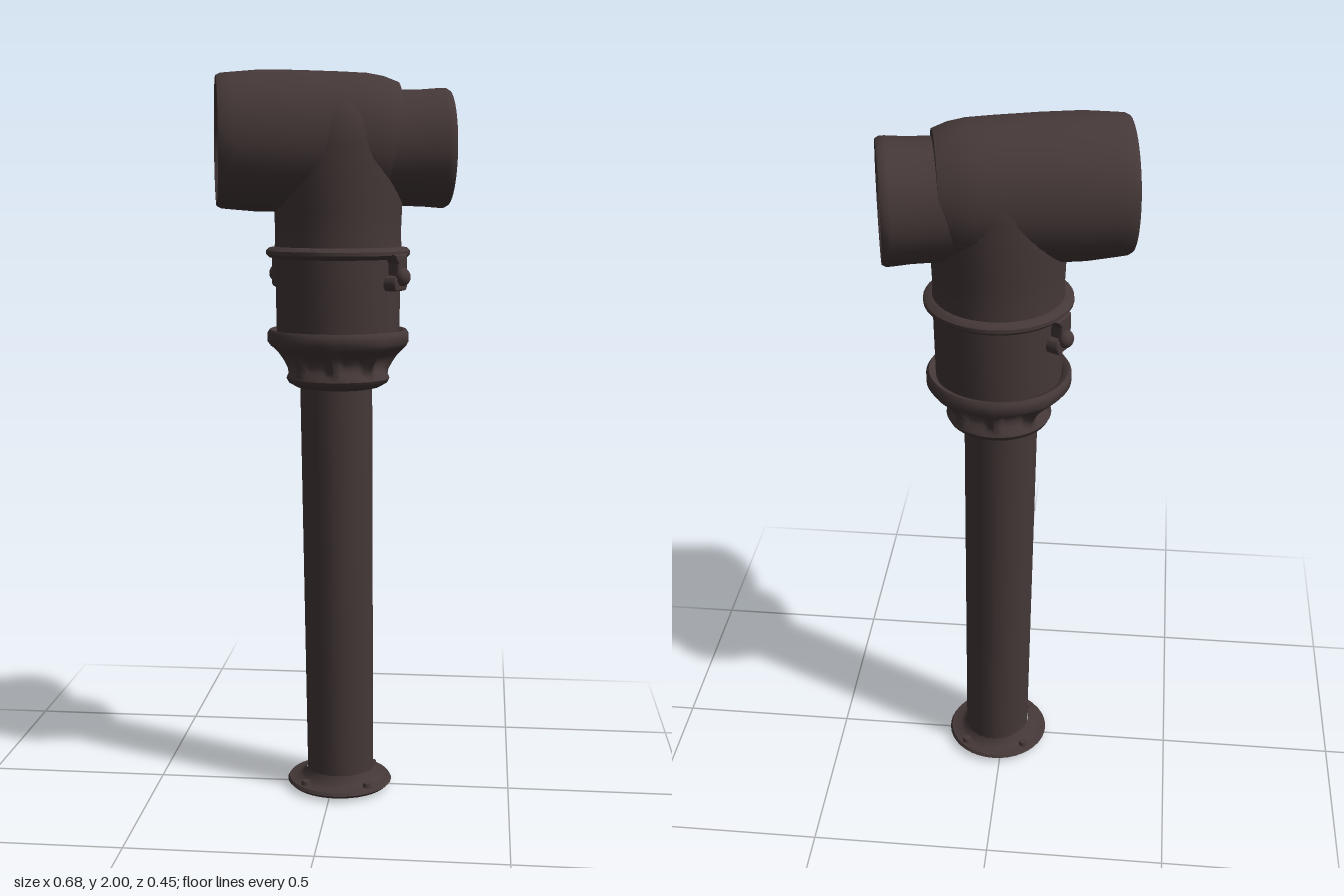
import * as THREE from 'three';
import { toCreasedNormals } from 'three/addons/utils/BufferGeometryUtils.js';

export function createModel() {
  const model = new THREE.Group();
  model.name = 'viewingScope';
  const iron = new THREE.MeshStandardMaterial({ color: 0x453838 });
  iron.name = 'dark iron';

  const add = (name, geometry, parent = model) => {
    const mesh = new THREE.Mesh(geometry, iron);
    mesh.name = name;
    parent.add(mesh);
    return mesh;
  };
  // Turned part from [radius, height] pairs, listed bottom to top
  const turned = (pairs, sides = 40, shape = null) => {
    const g = new THREE.LatheGeometry(pairs.map(([r, y]) => new THREE.Vector2(r, y)), sides);
    if (shape) {
      const p = g.attributes.position;
      for (let i = 0; i < p.count; i++) {
        const k = shape(p.getY(i), Math.atan2(p.getZ(i), p.getX(i)));
        p.setXYZ(i, p.getX(i) * k, p.getY(i), p.getZ(i) * k);
      }
    }
    return toCreasedNormals(g, 0.7);
  };

  // Foot: flange with a slightly domed underside and low bolts
  const foot = new THREE.Group();
  foot.name = 'foot';
  foot.position.set(0.018, 0, 0.003);
  model.add(foot);
  add('footFlange', turned([[0, 0], [0.08, 0.002], [0.14, 0.008], [0.148, 0.016],
    [0.143, 0.024], [0.115, 0.026], [0.1, 0.04], [0.094, 0.055]]), foot);
  for (let i = 0; i < 4; i++) {
    const a = Math.PI / 4 + i * Math.PI / 2;
    add('footBolt', new THREE.CylinderGeometry(0.011, 0.014, 0.012, 8), foot)
      .position.set(0.123 * Math.cos(a), 0.03, 0.123 * Math.sin(a));
  }

  // Pole leaning very slightly from foot to collar
  const pole = new THREE.CylinderGeometry(0.1, 0.094, 1.15, 24, 1, true);
  pole.translate(0, 0.605, 0);
  const pp = pole.attributes.position;
  for (let i = 0; i < pp.count; i++) pp.setX(i, pp.getX(i) + 0.021 - 0.012 * pp.getY(i));
  add('pole', pole);

  const upper = new THREE.Group();
  upper.name = 'upperAssembly';
  upper.position.set(0.012, 0, -0.003);
  model.add(upper);

  // Collar with arched recesses between eight ribs
  const arches = (y, a) => {
    const t = (y - 1.185) / 0.08;
    if (t <= 0 || t >= 1) return 1;
    const hollow = Math.min(1, 1.6 * Math.pow(Math.abs(Math.sin(4 * a)), 1.3));
    return 1 - 0.17 * Math.sin(Math.PI * t) * hollow;
  };
  add('collar', turned([[0.09, 1.145], [0.115, 1.15], [0.136, 1.162], [0.142, 1.174],
    [0.137, 1.185], [0.139, 1.198], [0.145, 1.21], [0.153, 1.224], [0.163, 1.238],
    [0.174, 1.25], [0.187, 1.262], [0.194, 1.275], [0.194, 1.298], [0.187, 1.308],
    [0.174, 1.304], [0.168, 1.296]], 96, arches), upper);

  // Housing drum and the rim it carries
  add('housing', turned([[0.168, 1.29], [0.17, 1.4], [0.172, 1.515]]), upper);
  add('housingRim', turned([[0.17, 1.5], [0.188, 1.504], [0.196, 1.512],
    [0.196, 1.522], [0.188, 1.53], [0.17, 1.533]]), upper);

  // Latches hanging from the rim on opposite sides
  const hook = new THREE.Shape();
  hook.moveTo(-0.03, 0.09);
  hook.lineTo(0.028, 0.09);
  hook.lineTo(0.028, 0.012);
  hook.quadraticCurveTo(0.028, 0, 0.016, 0);
  hook.lineTo(-0.024, 0);
  hook.quadraticCurveTo(-0.034, 0.012, -0.024, 0.028);
  hook.lineTo(-0.01, 0.034);
  hook.lineTo(-0.01, 0.07);
  const hookGeometry = new THREE.ExtrudeGeometry(hook, {
    depth: 0.034, bevelEnabled: true, bevelSize: 0.004, bevelThickness: 0.006, bevelSegments: 2,
  });
  for (const angle of [1.08, 1.08 + Math.PI]) {
    const latch = new THREE.Group();
    latch.name = 'latch';
    latch.rotation.y = angle;
    upper.add(latch);
    add('latchHook', hookGeometry, latch).position.set(0, 1.422, 0.163);
    const pin = add('latchPin', new THREE.SphereGeometry(0.024, 14, 10), latch);
    pin.position.set(0, 1.455, 0.207);
    pin.scale.z = 0.8;
  }

  // Neck rising into a rounded crown inside the head
  const neck = [[0.173, 1.525], [0.171, 1.57], [0.173, 1.62], [0.176, 1.68], [0.178, 1.8]];
  for (let i = 1; i <= 10; i++) {
    const a = i * Math.PI / 20;
    neck.push([0.178 * Math.cos(a), 1.8 + 0.19 * Math.sin(a)]);
  }
  add('neck', turned(neck), upper);

  // Head: wide objective barrel and narrow eyepiece barrel on one turned axis
  const head = new THREE.Group();
  head.name = 'head';
  head.position.set(-0.003, 1.81, -0.003);
  head.rotation.y = 0.21;
  model.add(head);
  const barrel = (name, pairs) => {
    const mesh = add(name, turned(pairs, 48).rotateZ(-Math.PI / 2), head);
    return mesh;
  };
  const wide = barrel('objectiveBarrel', [[0, -0.255], [0.145, -0.255], [0.155, -0.3],
    [0.162, -0.314], [0.172, -0.314], [0.178, -0.302], [0.181, -0.27], [0.187, -0.2],
    [0.187, -0.1], [0.184, 0.02], [0.181, 0.09], [0.173, 0.135], [0.158, 0.175], [0, 0.19]]);
  wide.scale.z = 0.94;
  wide.position.y = 0.003;
  barrel('eyepieceBarrel', [[0, 0], [0.155, 0.02], [0.155, 0.18], [0.156, 0.24],
    [0.16, 0.29], [0.16, 0.304], [0.154, 0.314], [0.142, 0.314], [0.134, 0.304],
    [0.126, 0.255], [0, 0.25]]).position.y = -0.014;

  return model;
}
